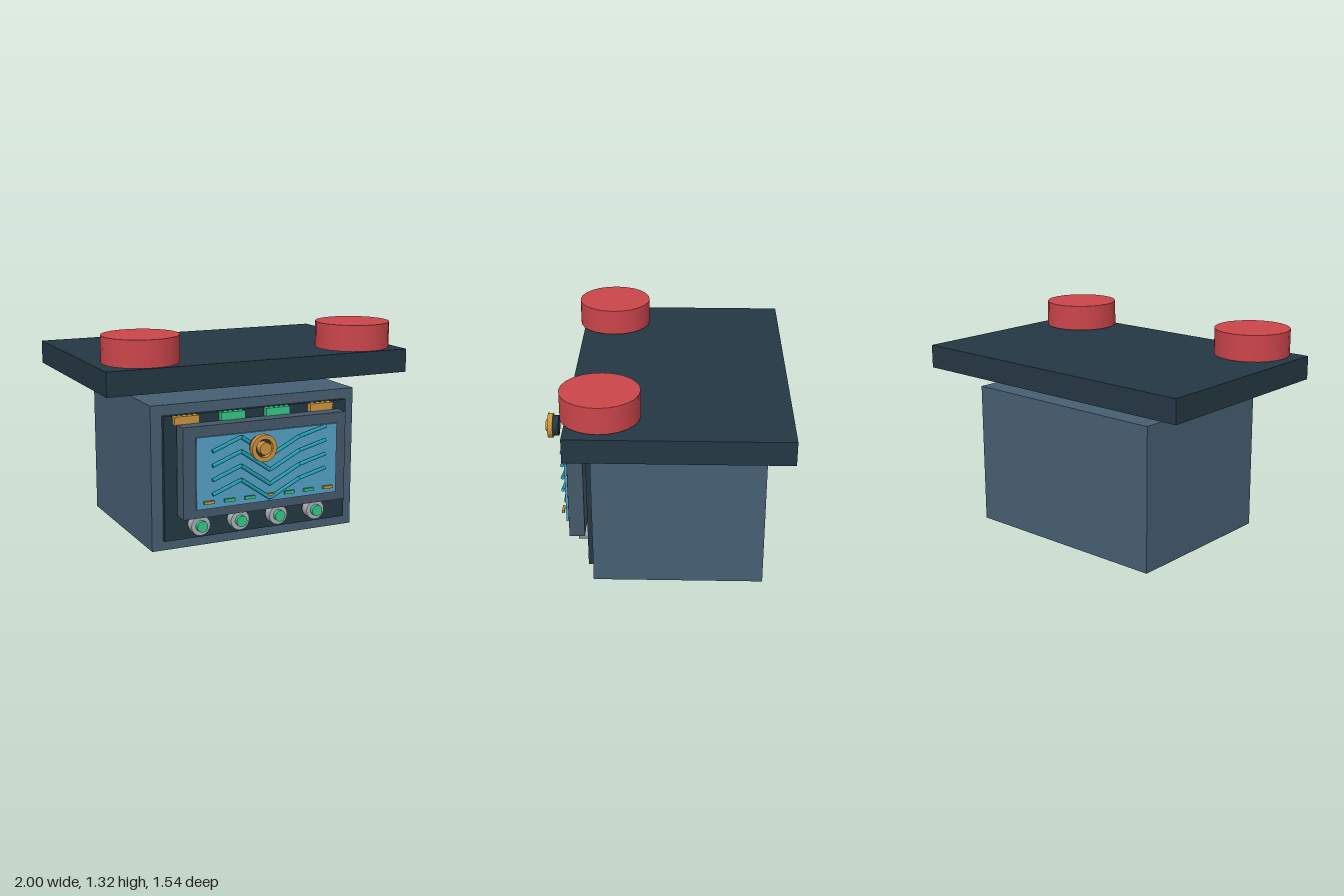
import * as THREE from 'three';

const paint = (name, color) => {
  const m = new THREE.MeshStandardMaterial({ color });
  m.name = name;
  return m;
};

export function createModel() {
  const root = new THREE.Group();
  root.name = 'controlConsole';

  const dark = paint('darkSlate', 0x243743);
  const slate = paint('slateBlue', 0x465e72);
  const steel = paint('steelGrey', 0x45586a);
  const red = paint('red', 0xcb454b);
  const gold = paint('amber', 0xc9933f);
  const green = paint('green', 0x35c586);
  const silver = paint('silver', 0xa9b1b7);
  const blue = paint('screenBlue', 0x549fc5);
  const teal = paint('teal', 0x23a0b4);

  const add = (name, geometry, material, x, y, z) => {
    const mesh = new THREE.Mesh(geometry, material);
    mesh.name = name;
    mesh.position.set(x, y, z);
    root.add(mesh);
    return mesh;
  };
  // box given by its lower and upper corners
  const box = (name, material, [x0, y0, z0], [x1, y1, z1]) =>
    add(name, new THREE.BoxGeometry(x1 - x0, y1 - y0, z1 - z0), material,
      (x0 + x1) / 2, (y0 + y1) / 2, (z0 + z1) / 2);
  // cylinder lying along z, between two depths
  const disc = (name, material, r, x, y, z0, z1, sides) =>
    add(name, new THREE.CylinderGeometry(r, r, z1 - z0, sides).rotateX(Math.PI / 2),
      material, x, y, (z0 + z1) / 2);

  // cabinet, floating top slab and its two round pads
  box('cabinet', slate, [-0.69, 0, -0.635], [0.69, 0.9, 0.412]);
  box('topSlab', dark, [-1, 1, -0.77], [1, 1.147, 0.54]);
  for (const x of [-0.717, 0.717])
    add('topPad', new THREE.CylinderGeometry(0.234, 0.234, 0.163, 24), red, x, 1.237, 0.34);

  // front panel, screen frame and screen
  box('frontPanel', dark, [-0.62, 0.065, 0.417], [0.62, 0.837, 0.446]);
  box('screenFrame', steel, [-0.548, 0.225, 0.472], [0.548, 0.788, 0.568]);
  box('screen', blue, [-0.473, 0.285, 0.578], [0.473, 0.725, 0.592]);

  // indicator lamps above the screen
  [-0.485, -0.182, 0.121, 0.425].forEach((x, i) =>
    box('indicator', i % 3 ? green : gold, [x - 0.08, 0.785, 0.448], [x + 0.08, 0.836, 0.483]));

  // four zigzag traces on the screen, each made of straight capped rods
  const trace = [[-0.38, 0.64], [-0.193, 0.71], [0, 0.575], [0.198, 0.675], [0.38, 0.722]];
  const up = new THREE.Vector3(0, 1, 0);
  for (let row = 0; row < 4; row++) {
    const pts = trace.map(([x, y]) => new THREE.Vector3(x, y - row * 0.088, 0.616));
    for (let i = 1; i < pts.length; i++) {
      const dir = pts[i].clone().sub(pts[i - 1]);
      const mid = pts[i].clone().add(pts[i - 1]).multiplyScalar(0.5);
      const rod = add('trace', new THREE.CylinderGeometry(0.012, 0.012, dir.length(), 8),
        teal, mid.x, mid.y, mid.z);
      rod.quaternion.setFromUnitVectors(up, dir.normalize());
    }
  }

  // row of small marks along the bottom of the screen
  for (let i = 0; i < 7; i++) {
    const x = (i - 3) * 0.134;
    box('screenMark', i % 3 ? green : gold,
      [x - 0.034, 0.321, 0.607], [x + 0.034, 0.339, 0.622]);
  }

  // push buttons
  for (const x of [-0.417, -0.155, 0.107, 0.369]) {
    disc('buttonRing', silver, 0.062, x, 0.162, 0.464, 0.524, 16);
    disc('buttonCap', green, 0.035, x, 0.162, 0.524, 0.552, 16);
  }

  // dial: dark base, amber rim and amber centre
  disc('dialBase', dark, 0.067, -0.107, 0.662, 0.684, 0.724, 24);
  const rim = [[0.055, -0.017], [0.082, -0.017], [0.082, 0.017], [0.055, 0.017], [0.055, -0.017]];
  const rimGeometry = new THREE.LatheGeometry(rim.map(p => new THREE.Vector2(...p)), 24)
    .rotateX(Math.PI / 2).toNonIndexed();
  rimGeometry.computeVertexNormals();
  add('dialRim', rimGeometry, gold, -0.107, 0.662, 0.738);
  disc('dialCentre', gold, 0.038, -0.107, 0.662, 0.72, 0.77, 20);

  return root;
}
